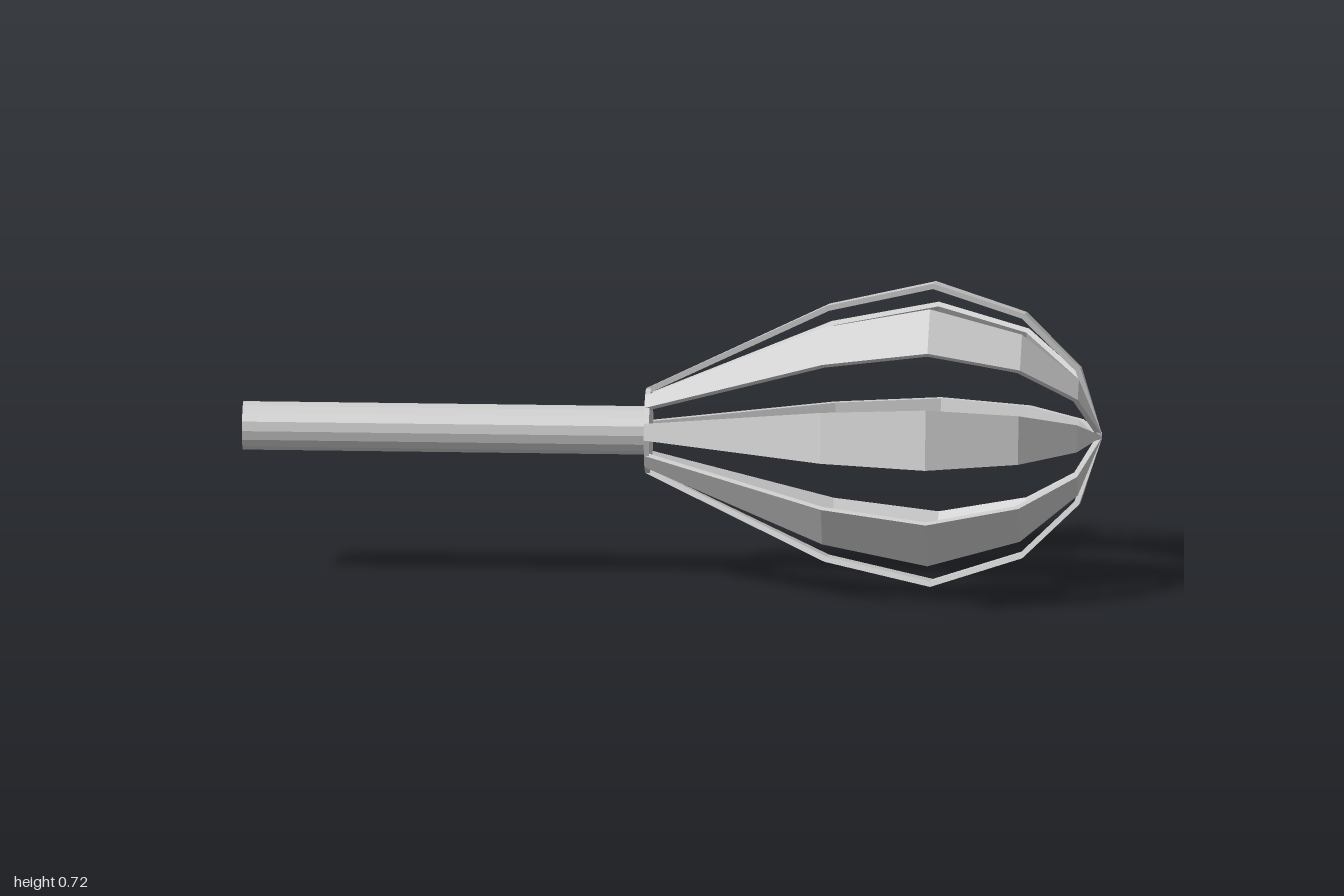
import * as THREE from 'three';

const AXIS_Y = 0.36;
const SIDES = 16;
const THICKNESS = 0.013;
// Outer outline of the wire cage: [x along the axis, radius]
const PROFILE = [[-0.062, 0.1], [0.36, 0.304], [0.607, 0.36], [0.82, 0.29], [0.95, 0.162], [0.998, 0.012]];

const material = new THREE.MeshStandardMaterial({ color: 0xcccccc, flatShading: true });

// Profile moved inwards along its normals, to give the blades thickness
function insetProfile() {
  return PROFILE.map(([x, r], i) => {
    const a = PROFILE[Math.max(i - 1, 0)];
    const b = PROFILE[Math.min(i + 1, PROFILE.length - 1)];
    const dx = b[0] - a[0], dr = b[1] - a[1], len = Math.hypot(dx, dr);
    return [x + (dr / len) * THICKNESS, Math.max(r - (dx / len) * THICKNESS, 0.008)];
  });
}

// One closed strip covering a single side of the 16-sided cage
function bladeGeometry() {
  const inner = insetProfile();
  const step = (Math.PI * 2) / SIDES;
  const point = ([x, r], a) => [x, r * Math.cos(a), -r * Math.sin(a)];
  const positions = [];
  const index = [];
  PROFILE.forEach((outer, i) => {
    // Cross-section loop: outer start, outer end, inner end, inner start
    positions.push(...point(outer, 0), ...point(outer, step), ...point(inner[i], step), ...point(inner[i], 0));
    if (i === 0) return;
    const p = (i - 1) * 4, q = i * 4;
    for (let k = 0; k < 4; k++) {
      const n = (k + 1) % 4;
      index.push(p + k, q + k, q + n, p + k, q + n, p + n);
    }
  });
  const e = (PROFILE.length - 1) * 4;
  index.push(0, 1, 2, 0, 2, 3, e, e + 2, e + 1, e, e + 3, e + 2);
  const geometry = new THREE.BufferGeometry();
  geometry.setAttribute('position', new THREE.Float32BufferAttribute(positions, 3));
  geometry.setIndex(index);
  geometry.computeVertexNormals();
  return geometry;
}

// Cylinder lying along x
function rod(name, x0, x1, r0, r1) {
  const geometry = new THREE.CylinderGeometry(r1, r0, x1 - x0, SIDES);
  geometry.rotateZ(-Math.PI / 2);
  const mesh = new THREE.Mesh(geometry, material);
  mesh.name = name;
  mesh.position.x = (x0 + x1) / 2;
  return mesh;
}

export function createModel() {
  const model = new THREE.Group();
  model.name = 'whisk';
  const body = new THREE.Group();
  body.name = 'whiskBody';
  body.position.y = AXIS_Y;
  model.add(body);

  body.add(rod('handle', -1, -0.06, 0.057, 0.057));
  body.add(rod('collar', -0.062, -0.05, 0.1, 0.1));
  body.add(rod('tip', 0.988, 1, 0.018, 0.01));

  // Eight blades, on every other side of the cage
  const cage = new THREE.Group();
  cage.name = 'cage';
  const geometry = bladeGeometry();
  const bladeMaterial = material.clone();
  bladeMaterial.side = THREE.DoubleSide;
  for (let i = 0; i < 8; i++) {
    const blade = new THREE.Mesh(geometry, bladeMaterial);
    blade.name = `blade${i + 1}`;
    blade.rotation.x = (i * Math.PI) / 4;
    cage.add(blade);
  }
  body.add(cage);
  return model;
}
